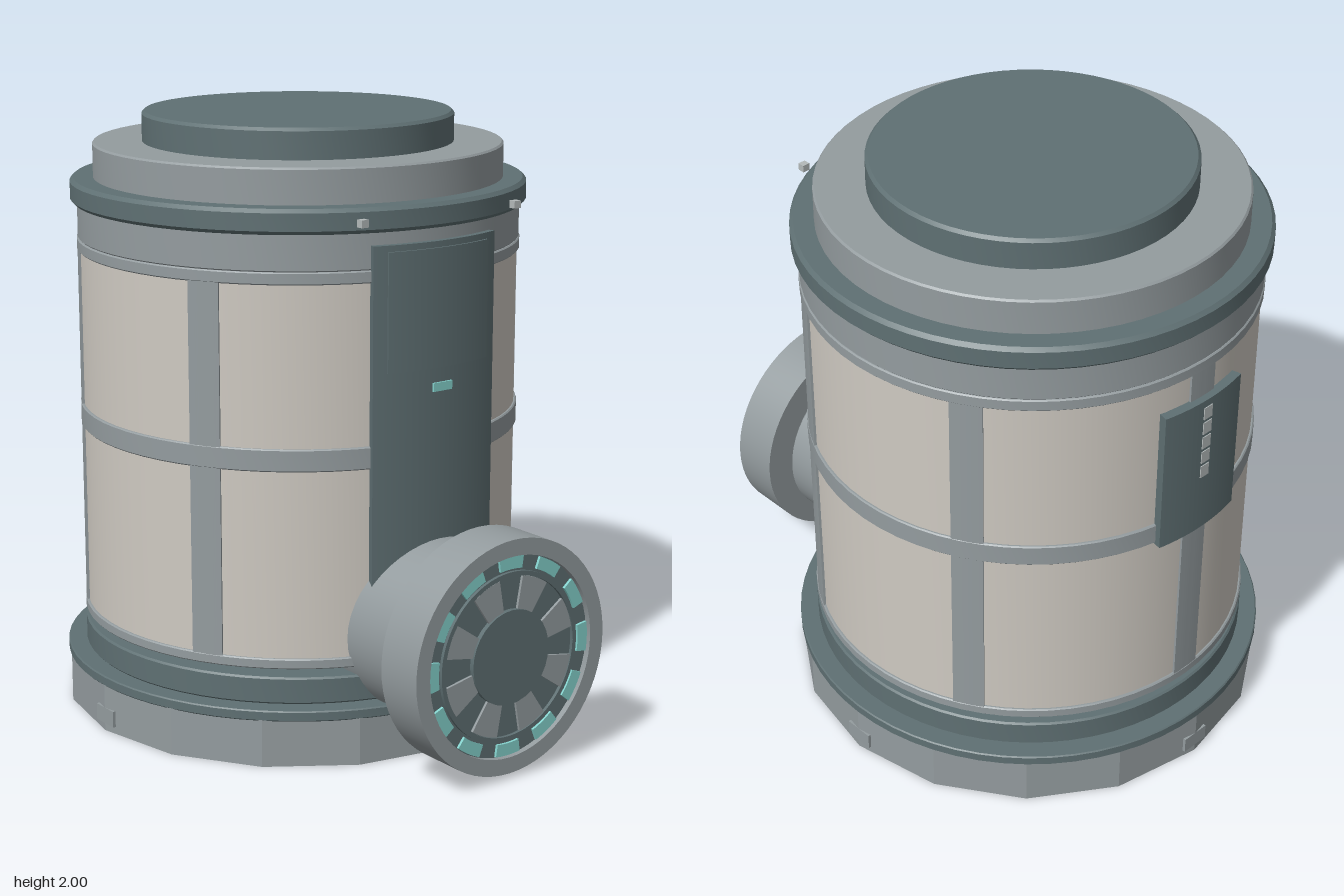
import * as THREE from 'three';
import { toCreasedNormals } from 'three/addons/utils/BufferGeometryUtils.js';

const mat = (name, color) => Object.assign(new THREE.MeshStandardMaterial({ color }), { name });

export function createModel() {
  const model = new THREE.Group();
  model.name = 'storageTank';
  const grey = mat('steel grey', 0x949c9f);
  const dark = mat('dark slate', 0x5f7073);
  const beige = mat('warm panel', 0xcfcac2);
  const teal = mat('teal light', 0x84d2cd);
  const pale = mat('pale indicator', 0xb4baba);

  const add = (parent, name, geometry, material, x = 0, y = 0, z = 0) => {
    const mesh = new THREE.Mesh(geometry, material);
    mesh.name = name;
    mesh.position.set(x, y, z);
    parent.add(mesh);
    return mesh;
  };
  const crease = (g) => toCreasedNormals(g, 0.5);

  // Solid disc from y0 to y1 with a small bevel on both rims
  const disc = (r, y0, y1, b = 0.01, sides = 64) => crease(new THREE.LatheGeometry(
    [[0, y0], [r - b, y0], [r, y0 + b], [r, y1 - b], [r - b, y1], [0, y1]]
      .map(([x, y]) => new THREE.Vector2(x, y)), sides));

  // Ring sector, angles measured in the shape plane
  const sector = (r0, r1, a0, a1, depth, segments = 12) => {
    const s = new THREE.Shape();
    s.absarc(0, 0, r1, a0, a1, false);
    s.absarc(0, 0, r0, a1, a0, true);
    s.closePath();
    return crease(new THREE.ExtrudeGeometry(s, { depth, bevelEnabled: false, curveSegments: segments }));
  };
  // Upright curved plate around the tank, angle 0 faces the front
  const curvedPlate = (r0, r1, angle, half, y0, y1) => {
    const c = angle - Math.PI / 2;
    return sector(r0, r1, c - half, c + half, y1 - y0).rotateX(-Math.PI / 2).translate(0, y0, 0);
  };

  const tank = new THREE.Group();
  tank.name = 'tank';
  tank.position.z = -0.155;
  model.add(tank);

  // Faceted base with dark rims and four clips
  const base = new THREE.CylinderGeometry(0.8, 0.8, 0.16, 16).toNonIndexed();
  base.computeVertexNormals();
  add(tank, 'base', base, grey, 0, 0.08);
  add(tank, 'baseRim', disc(0.8, 0.155, 0.19, 0.004), dark);
  add(tank, 'baseCollar', disc(0.738, 0.19, 0.28, 0.006), dark);
  for (let i = 0; i < 4; i++) {
    const a = i * Math.PI / 2;
    const clip = add(tank, 'baseClip', new THREE.BoxGeometry(0.1, 0.055, 0.03), grey,
      Math.sin(a) * 0.785, 0.052, Math.cos(a) * 0.785);
    clip.rotation.y = a;
  }

  // Panelled body with its frame
  add(tank, 'bodyPanels', disc(0.729, 0.312, 1.6, 0.002), beige);
  for (const [y0, y1] of [[0.308, 0.342], [0.957, 1.03], [1.548, 1.588]])
    add(tank, 'frameRing', disc(0.738, y0, y1, 0.004), grey);
  for (let i = 0; i < 6; i++)
    add(tank, 'frameUpright', curvedPlate(0.71, 0.736, i * Math.PI / 3, 0.071, 0.32, 1.58), grey);

  // Stepped top
  add(tank, 'upperBand', disc(0.735, 1.588, 1.715, 0.004), grey);
  add(tank, 'topCollar', disc(0.757, 1.705, 1.785, 0.012), dark);
  add(tank, 'topStep', disc(0.68, 1.775, 1.9, 0.006), grey);
  add(tank, 'topCap', disc(0.516, 1.89, 2, 0.01), dark);

  // Front door with raised upper plate and light
  add(tank, 'door', curvedPlate(0.7, 0.756, 0, 0.328, 0.31, 1.665), dark);
  add(tank, 'doorUpperPlate', curvedPlate(0.74, 0.763, 0, 0.265, 1.265, 1.645), dark);
  add(tank, 'doorLight', new THREE.BoxGeometry(0.075, 0.028, 0.009), teal, 0, 1.203, 0.758);

  // Small lamps beside the door top
  for (const side of [-1, 1])
    add(tank, 'collarLamp', new THREE.BoxGeometry(0.026, 0.024, 0.024), pale, side * 0.305, 1.746, 0.742);

  // Control plate on the back with a column of indicators
  add(tank, 'backPlate', curvedPlate(0.725, 0.76, Math.PI, 0.224, 0.953, 1.453), dark);
  for (let i = 0; i < 5; i++)
    add(tank, 'backIndicator', new THREE.BoxGeometry(0.036, 0.044, 0.006), pale, 0, 1.405 - i * 0.056, -0.76);

  // Front pipe and its round hatch, built around the z axis
  const hatch = new THREE.Group();
  hatch.name = 'hatch';
  hatch.position.y = 0.403;
  model.add(hatch);
  const axial = (g) => g.rotateX(Math.PI / 2);
  add(hatch, 'pipe', axial(disc(0.3, 0.44, 0.776, 0.014, 48)), grey);
  const rim = [[0, 0.788], [0.384, 0.788], [0.384, 0.957], [0.33, 0.957], [0.33, 0.935]]
    .map(([x, y]) => new THREE.Vector2(x, y));
  add(hatch, 'hatchRim', axial(crease(new THREE.LatheGeometry(rim, 64))), grey);
  add(hatch, 'hatchFace', axial(new THREE.CylinderGeometry(0.332, 0.332, 0.04, 48)), dark, 0, 0, 0.917);
  add(hatch, 'hatchInnerRing', sector(0.262, 0.277, 0, Math.PI * 2 - 0.001, 0.012, 48), dark, 0, 0, 0.936);
  add(hatch, 'hatchHub', axial(new THREE.CylinderGeometry(0.155, 0.155, 0.02, 32)), dark, 0, 0, 0.943);
  for (let i = 0; i < 8; i++) {
    const a = (i + 0.5) * Math.PI / 4;
    add(hatch, 'hatchWedge', sector(0.15, 0.26, a - 0.21, a + 0.21, 0.009), grey, 0, 0, 0.937);
  }
  for (let i = 0; i < 12; i++) {
    const a = i * Math.PI / 6;
    add(hatch, 'hatchLight', sector(0.286, 0.326, a - 0.152, a + 0.152, 0.009), teal, 0, 0, 0.937);
  }

  return model;
}
